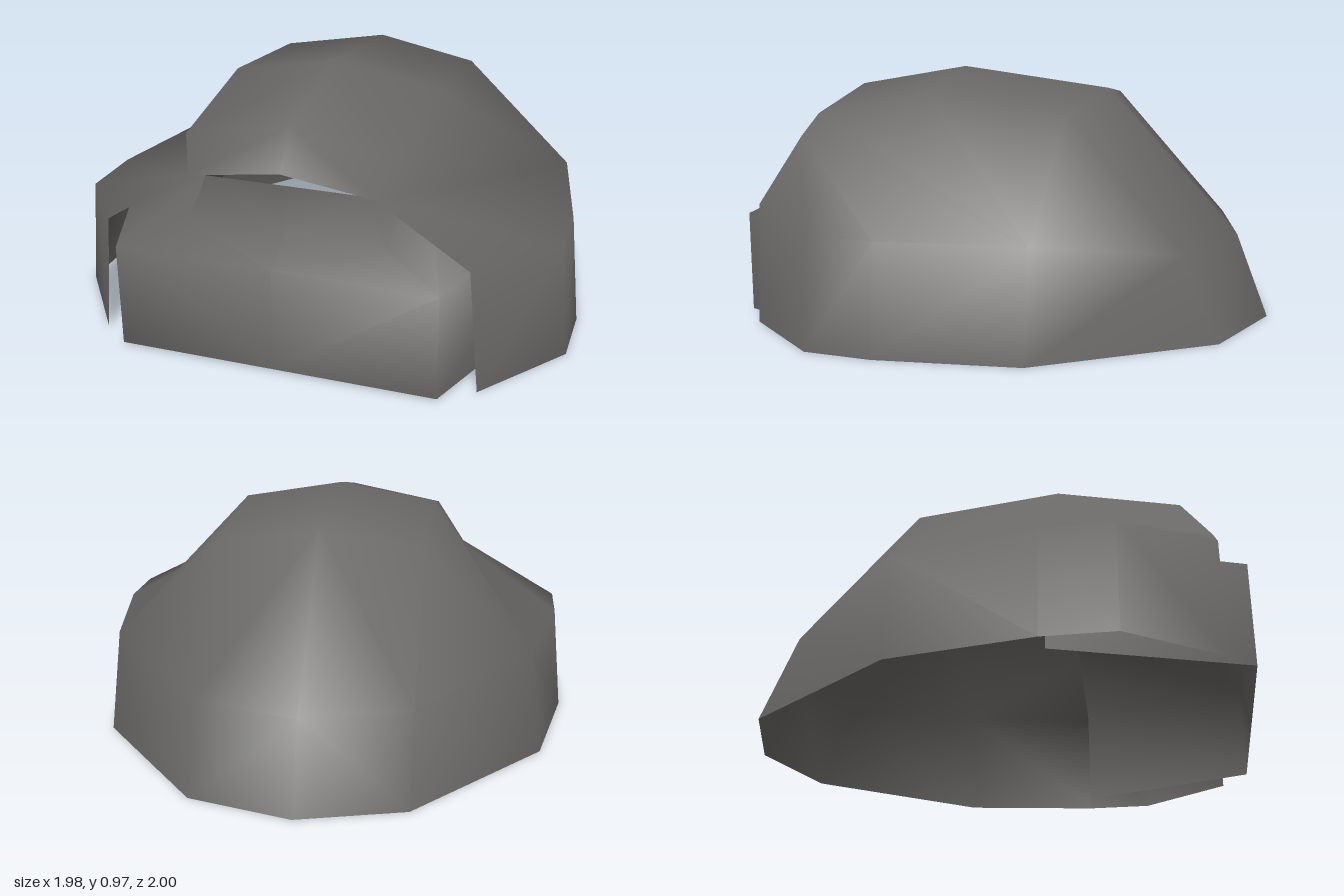
import * as THREE from 'three';
import { mergeVertices } from 'three/addons/utils/BufferGeometryUtils.js';

const charcoal = new THREE.MeshStandardMaterial({ color: 0x696866, side: THREE.DoubleSide });
charcoal.name = 'charcoal';

// Collects faces of the +x half; mirrors each one and welds the halves smoothly.
function mirroredSheet(name, build) {
  const pos = [];
  const tri = (a, b, c) => {
    pos.push(...a, ...b, ...c);
    for (const p of [a, c, b]) pos.push(p[0] === 0 ? 0 : -p[0], p[1], p[2]);
  };
  const quad = (a, b, c, d) => { tri(a, b, c); tri(a, c, d); };
  // quads between two rows of points
  const strip = (low, high) => {
    for (let i = 0; i + 1 < low.length; i++) quad(low[i], low[i + 1], high[i + 1], high[i]);
  };
  build(tri, quad, strip);
  const g = new THREE.BufferGeometry();
  g.setAttribute('position', new THREE.Float32BufferAttribute(pos, 3));
  const welded = mergeVertices(g);
  welded.computeVertexNormals();
  const mesh = new THREE.Mesh(welded, charcoal);
  mesh.name = name;
  return mesh;
}

export function createModel() {
  const group = new THREE.Group();
  group.name = 'helmet';

  // Outer shell: rows run from the front opening to the back
  group.add(mirroredSheet('outerShell', (tri, quad, strip) => {
    const base = [[0.73, 0, 0.9], [0.99, 0, 0.55], [0.99, 0, 0.28], [0.89, 0, -0.27], [0.41, 0, -0.88], [0, 0, -1]];
    const mid = [[0.69, 0.47, 0.9], [0.95, 0.43, 0.55], [0.95, 0.43, 0.28], [0.84, 0.43, -0.27], [0.41, 0.33, -0.74], [0, 0.33, -0.87]];
    const top = [[0.35, 0.69, 0.9], [0.41, 0.8, 0.78], [0.41, 0.9, 0.3], [0.41, 0.84, -0.27]];
    const ridge = [[0, 0.74, 0.9], [0, 0.88, 0.78], [0, 0.97, 0.3], [0, 0.9, -0.33]];
    strip(base, mid);   // side wall
    strip(top, ridge);  // crown
    // shoulder: fans around the front arch corner and the rear side corner
    for (let i = 0; i < 3; i++) {
      tri(mid[i], mid[i + 1], top[0]);
      tri(mid[3], top[i + 1], top[i]);
    }
    tri(mid[3], mid[4], top[3]);
    quad(mid[4], mid[5], ridge[3], top[3]); // sloping back
  }));

  // Face guard: an open sheet inside the front opening
  group.add(mirroredSheet('faceGuard', (tri, quad, strip) => {
    const front = [[0.61, 0.01, 1], [0.61, 0.41, 1], [0.38, 0.49, 0.86], [0.3, 0.68, 0.86]];
    const rear = [[0.87, 0.01, 0.29], [0.87, 0.42, 0.29], [0.38, 0.6, 0.29], [0.3, 0.68, 0.29]];
    const centre = front.map(([, y, z]) => [0, y, z]);
    for (let i = 0; i < 3; i++) {
      quad(centre[i], front[i], front[i + 1], centre[i + 1]);
      quad(front[i], rear[i], rear[i + 1], front[i + 1]);
    }
  }));

  return group;
}
